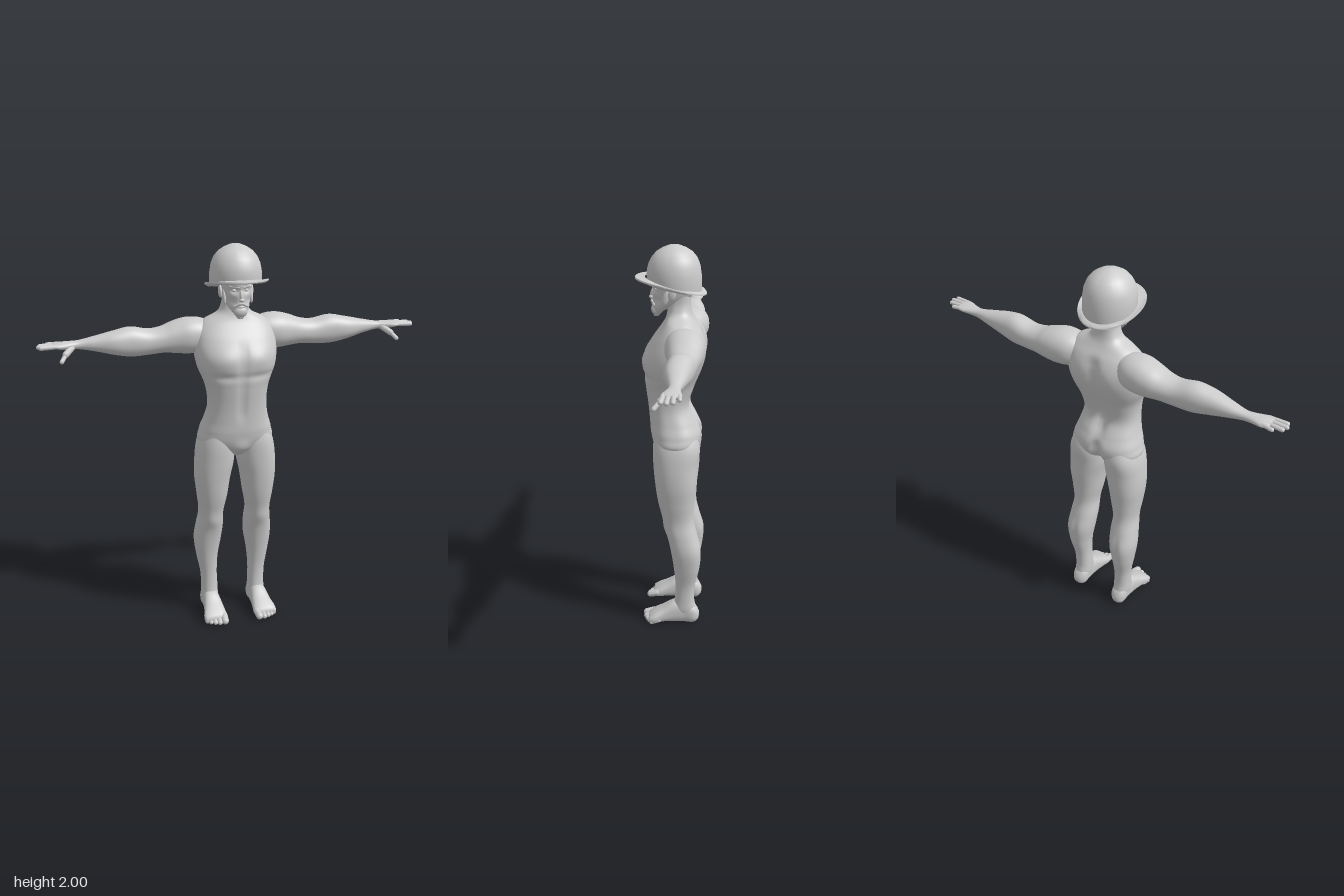
import * as THREE from 'three';
import { mergeVertices, toCreasedNormals } from 'three/addons/utils/BufferGeometryUtils.js';

const clay = new THREE.MeshStandardMaterial({ color: 0xcccccc });
clay.name = 'clay grey';

const bell = (d, s) => Math.exp(-(d * d) / (s * s));
const band = (v, lo, hi) => THREE.MathUtils.smoothstep(v, lo - 0.04, lo + 0.04) * (1 - THREE.MathUtils.smoothstep(v, hi - 0.04, hi + 0.04));

// Smooth skin through cross-sections [t, uMin, uMax, vMin, vMax] along one axis.
const PLACE = {
  y: (t, u, v) => [u, t, v],
  x: (t, u, v) => [t, v, u],
  z: (t, u, v) => [v, u, t],
};
function loft(axis, keys, { rows = 48, sides = 40, power = 2.2, sculpt } = {}) {
  const curve = new THREE.CubicInterpolant(keys.map(k => k[0]), new Float32Array(keys.flatMap(k => k.slice(1))), 4);
  const t0 = keys[0][0], t1 = keys[keys.length - 1][0];
  const pos = [], index = [];
  const round = c => Math.sign(c) * Math.pow(Math.abs(c), 2 / power);
  const add = (t, u, v) => {
    const p = new THREE.Vector3(...PLACE[axis](t, u, v));
    if (sculpt) sculpt(p);
    pos.push(p.x, p.y, p.z);
  };
  for (let i = 0; i <= rows; i++) {
    const t = t0 + (t1 - t0) * i / rows;
    const [a, b, c, d] = curve.evaluate(t);
    for (let j = 0; j < sides; j++) {
      const w = j / sides * Math.PI * 2;
      add(t, (a + b) / 2 + (b - a) / 2 * round(Math.cos(w)), (c + d) / 2 + (d - c) / 2 * round(Math.sin(w)));
    }
  }
  for (let i = 0; i < rows; i++) for (let j = 0; j < sides; j++) {
    const k = (j + 1) % sides, p = i * sides, q = p + sides;
    index.push(p + j, q + j, p + k, p + k, q + j, q + k);
  }
  // end caps
  for (const [row, key] of [[0, keys[0]], [rows, keys[keys.length - 1]]]) {
    const centre = pos.length / 3;
    add(key[0], (key[1] + key[2]) / 2, (key[3] + key[4]) / 2);
    for (let j = 0; j < sides; j++) {
      const a = row * sides + j, b = row * sides + (j + 1) % sides;
      index.push(centre, ...(row ? [b, a] : [a, b]));
    }
  }
  const geo = new THREE.BufferGeometry();
  geo.setAttribute('position', new THREE.Float32BufferAttribute(pos, 3));
  geo.setIndex(index);
  geo.computeVertexNormals();
  return geo;
}
// Rounded rod between two points, used for fingers and toes.
function rod(a, b, r) {
  const from = new THREE.Vector3(...a), dir = new THREE.Vector3(...b).sub(from);
  const geo = new THREE.CapsuleGeometry(r, dir.length(), 5, 12);
  geo.applyQuaternion(new THREE.Quaternion().setFromUnitVectors(new THREE.Vector3(0, 1, 0), dir.clone().normalize()));
  return geo.translate(...from.addScaledVector(dir, 0.5).toArray());
}
const blob = (c, s, tilt = 0) => new THREE.SphereGeometry(1, 20, 14).scale(...s).rotateX(tilt).translate(...c);

// Mirror across x with the corner order reversed.
function mirrored(geo) {
  const g = geo.clone().scale(-1, 1, 1), ix = g.index.array;
  for (let i = 0; i < ix.length; i += 3) [ix[i], ix[i + 1]] = [ix[i + 1], ix[i]];
  g.computeVertexNormals();
  return g;
}
// Lathe bent by a rule, with sharp edges kept.
function bentLathe(profile, bend) {
  let geo = new THREE.LatheGeometry(profile.map(p => new THREE.Vector2(...p)), 56);
  geo.deleteAttribute('uv');
  geo.deleteAttribute('normal');
  geo = mergeVertices(geo, 1e-5);
  const pos = geo.attributes.position, p = new THREE.Vector3();
  for (let i = 0; i < pos.count; i++) {
    bend(p.fromBufferAttribute(pos, i));
    pos.setXYZ(i, p.x, p.y, p.z);
  }
  return toCreasedNormals(geo, 0.9);
}

// Chest, sternum, waist, spine and shoulder blade relief.
function sculptTorso(p) {
  const x = Math.abs(p.x), y = p.y;
  if (p.z > 0.03) {
    p.z += 0.012 * bell(x - 0.085, 0.07) * bell(y - 1.45, 0.05);
    p.z -= 0.010 * bell(x, 0.018) * band(y, 1.14, 1.52);
    p.z -= 0.008 * bell(y - 1.365, 0.02) * bell(x - 0.09, 0.09);
    p.z += 0.012 * bell(x, 0.035) * bell(y - 0.985, 0.035);
  } else if (p.z < -0.04) {
    p.z += 0.022 * bell(x, 0.03) * band(y, 1.12, 1.58);
    p.z += 0.035 * bell(x, 0.022) * band(y, 0.94, 1.08);
    p.z -= 0.008 * bell(x - 0.1, 0.05) * bell(y - 1.48, 0.07);
  }
}
// Kneecap and calf relief.
function sculptLeg(p) {
  if (p.z > -0.05) p.z += 0.008 * bell(p.x - 0.13, 0.035) * bell(p.y - 0.555, 0.04);
  else p.z += 0.008 * bell(p.x - 0.135, 0.015) * bell(p.y - 0.42, 0.08);
}
// Eye sockets and cheeks.
function sculptHead(p) {
  const x = Math.abs(p.x);
  if (p.z < 0.02) return;
  p.z -= 0.014 * bell(x - 0.03, 0.018) * bell(p.y - 1.787, 0.014);
  p.z -= 0.010 * bell(x - 0.045, 0.02) * bell(p.y - 1.735, 0.02);
}

export function createModel() {
  const model = new THREE.Group();
  model.name = 'helmetedFigure';
  const part = (name, geo, parent = model) => {
    const mesh = new THREE.Mesh(geo, clay);
    mesh.name = name;
    parent.add(mesh);
  };
  const pair = (name, geo) => {
    part('left' + name, geo);
    part('right' + name, mirrored(geo));
  };
  const even = (y, w, back, front) => [y, -w, w, back, front];

  // torso and neck
  part('torso', loft('y', [
    even(0.925, 0.04, -0.06, 0.03), even(0.96, 0.10, -0.115, 0.068), even(1.0, 0.185, -0.148, 0.085),
    even(1.06, 0.186, -0.158, 0.10), even(1.12, 0.167, -0.135, 0.105), even(1.2, 0.151, -0.10, 0.112),
    even(1.3, 0.16, -0.123, 0.125), even(1.4, 0.197, -0.16, 0.135), even(1.47, 0.208, -0.175, 0.125),
    even(1.54, 0.205, -0.175, 0.09), even(1.59, 0.19, -0.155, 0.055), even(1.63, 0.15, -0.125, 0.03),
    even(1.66, 0.09, -0.108, 0.02), even(1.70, 0.066, -0.098, 0.015), even(1.78, 0.062, -0.098, 0.015),
  ], { rows: 110, sides: 72, power: 2.4, sculpt: sculptTorso }));

  // legs
  pair('Leg', loft('y', [
    [0.03, 0.095, 0.165, -0.13, -0.04], [0.08, 0.087, 0.175, -0.143, -0.02], [0.13, 0.087, 0.175, -0.135, -0.03],
    [0.22, 0.09, 0.178, -0.138, -0.035], [0.33, 0.083, 0.198, -0.162, -0.026], [0.43, 0.066, 0.21, -0.17, -0.01],
    [0.52, 0.06, 0.202, -0.147, 0.01], [0.6, 0.063, 0.192, -0.128, 0.03], [0.7, 0.045, 0.203, -0.13, 0.055],
    [0.8, 0.03, 0.214, -0.14, 0.07], [0.9, 0.01, 0.212, -0.145, 0.08], [1.0, 0.01, 0.197, -0.153, 0.083],
    [1.09, 0.03, 0.16, -0.125, 0.07],
  ], { rows: 80, sculpt: sculptLeg }));

  // feet and toes
  pair('Foot', loft('z', [
    [-0.16, 0.025, 0.06, 0.115, 0.15], [-0.145, 0.006, 0.09, 0.097, 0.166], [-0.08, 0, 0.125, 0.09, 0.173],
    [-0.03, 0, 0.125, 0.087, 0.178], [0.03, 0.002, 0.088, 0.08, 0.188], [0.08, 0, 0.058, 0.076, 0.2],
    [0.105, 0.005, 0.04, 0.082, 0.194],
  ], { rows: 30, sides: 32, power: 2.5 }));
  const toes = [[0.096, 0.122, 0.019], [0.124, 0.122, 0.014], [0.147, 0.114, 0.013], [0.168, 0.103, 0.012], [0.186, 0.09, 0.012]];
  toes.forEach(([x, z, r], i) => pair('Toe' + (i + 1), rod([x - 0.004, r + 0.012, z - 0.04], [x, r + 0.001, z], r)));

  // arms and palms
  pair('Arm', loft('x', [
    [0.09, -0.12, -0.02, 1.50, 1.60], [0.16, -0.165, 0.008, 1.465, 1.63], [0.23, -0.178, 0.013, 1.456, 1.636],
    [0.30, -0.175, 0, 1.462, 1.62], [0.36, -0.163, -0.01, 1.467, 1.598], [0.42, -0.153, -0.015, 1.463, 1.59],
    [0.52, -0.145, -0.013, 1.46, 1.607], [0.60, -0.133, -0.013, 1.475, 1.594], [0.70, -0.118, -0.035, 1.5, 1.572],
    [0.78, -0.105, -0.05, 1.515, 1.557], [0.82, -0.108, -0.04, 1.517, 1.556], [0.87, -0.117, -0.024, 1.523, 1.554],
    [0.90, -0.112, -0.028, 1.53, 1.55],
  ], { rows: 80 }));

  // fingers and thumbs
  const fingers = [[0.925, -0.11, 0.010], [0.962, -0.084, 0.011], [0.972, -0.058, 0.011], [0.962, -0.033, 0.011]];
  fingers.forEach(([x, z, r], i) => pair('Finger' + (i + 1), rod([0.87, 1.541, z * 0.85 - 0.01], [x - r * 0.5, 1.539, z], r)));
  pair('ThumbBase', rod([0.80, 1.533, -0.065], [0.842, 1.503, -0.022], 0.016));
  pair('Thumb', rod([0.84, 1.505, -0.024], [0.865, 1.476, 0.004], 0.011));

  // head, narrowing to a pointed beard
  part('head', loft('y', [
    even(1.648, 0.012, 0.06, 0.083), even(1.675, 0.033, 0.035, 0.09), even(1.70, 0.05, -0.01, 0.09),
    even(1.73, 0.063, -0.075, 0.09), even(1.78, 0.073, -0.117, 0.09), even(1.84, 0.078, -0.125, 0.088),
    even(1.90, 0.07, -0.11, 0.07),
  ], { rows: 60, sides: 56, sculpt: sculptHead }));
  const face = new THREE.Group();
  face.name = 'face';
  model.add(face);
  part('nose', blob([0, 1.763, 0.089], [0.010, 0.032, 0.012], -0.25), face);
  part('noseTip', blob([0, 1.743, 0.096], [0.014, 0.010, 0.012]), face);
  part('lowerLip', blob([0, 1.708, 0.087], [0.016, 0.006, 0.009]), face);
  part('beard', blob([0, 1.682, 0.076], [0.034, 0.028, 0.021], 0.15), face);
  pair('Eye', blob([0.03, 1.787, 0.066], [0.013, 0.009, 0.012]));
  pair('Brow', rod([0.012, 1.803, 0.084], [0.05, 1.806, 0.066], 0.006));
  pair('Moustache', rod([0.005, 1.725, 0.093], [0.032, 1.710, 0.078], 0.007));
  pair('Ear', blob([0.079, 1.772, -0.012], [0.010, 0.032, 0.019], -0.2));
  pair('Sideburn', blob([0.068, 1.752, 0.02], [0.010, 0.04, 0.016], -0.3));

  // helmet dome, its lower edge tilting down to the back
  part('helmetDome', bentLathe([
    [0, 1.85], [0.112, 1.85], [0.118, 1.806], [0.128, 1.806], [0.129, 1.83], [0.128, 1.865], [0.121, 1.905],
    [0.107, 1.938], [0.085, 1.965], [0.058, 1.983], [0.028, 1.996], [0, 2.0],
  ], p => {
    p.y += 0.22 * p.z * THREE.MathUtils.clamp((1.92 - p.y) / 0.1, 0, 1);
    p.z = p.z * 1.04 - 0.017;
  }));
  // helmet brim, longer at the front and back
  part('helmetBrim', bentLathe([
    [0.112, 1.803], [0.135, 1.797], [0.155, 1.799], [0.156, 1.804], [0.154, 1.808], [0.135, 1.811], [0.112, 1.817],
  ], p => {
    p.z *= 1.125;
    p.y += 0.22 * p.z + 0.6 * p.x * p.x * (Math.hypot(p.x, p.z) > 0.14 ? 1 : 0.4);
  }));
  return model;
}
